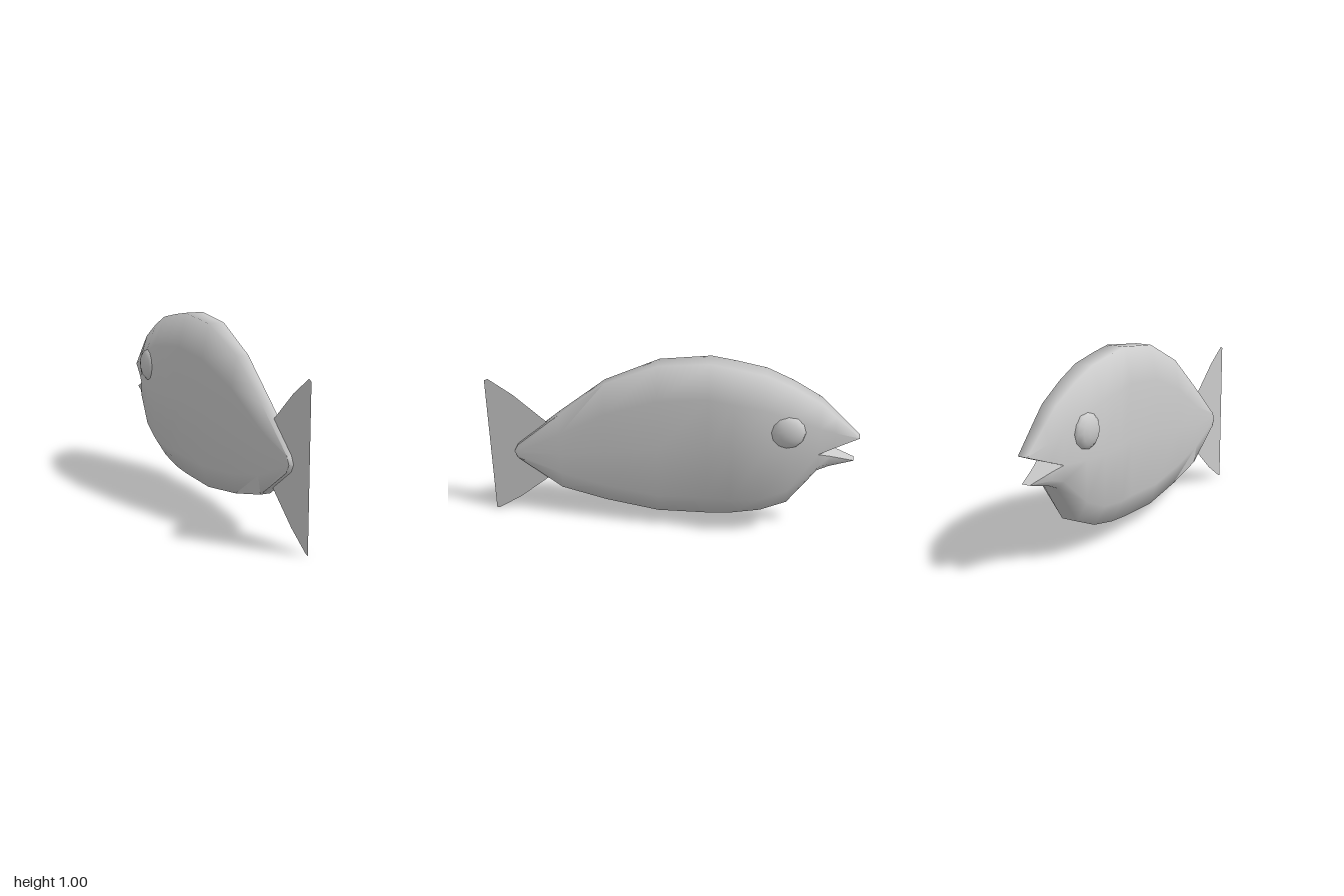
import * as THREE from 'three';
import { toCreasedNormals } from 'three/addons/utils/BufferGeometryUtils.js';

// Body stations, tail to mouth corner:
// z, five heights (belly, low shoulder, middle, high shoulder, back), rim half-width, side half-width
const STATIONS = [
  [0.86, 0.40, 0.40, 0.40, 0.40, 0.40, 0.025, 0.025],
  [0.84, 0.36, 0.38, 0.40, 0.42, 0.44, 0.025, 0.027],
  [0.60, 0.19, 0.29, 0.41, 0.53, 0.645, 0.028, 0.043],
  [0.35, 0.13, 0.24, 0.45, 0.68, 0.845, 0.033, 0.062],
  [0.06, 0.09, 0.21, 0.50, 0.79, 0.975, 0.045, 0.085],
  [-0.21, 0.10, 0.22, 0.52, 0.82, 1.005, 0.053, 0.092],
  [-0.34, 0.11, 0.23, 0.52, 0.81, 0.985, 0.053, 0.115],
  [-0.50, 0.14, 0.25, 0.52, 0.79, 0.955, 0.05, 0.118],
  [-0.64, 0.20, 0.31, 0.52, 0.74, 0.895, 0.045, 0.106],
  [-0.79, 0.41, 0.45, 0.53, 0.68, 0.81, 0.04, 0.08],
];

// Mirrors a half section of [x, y] points into a closed ring at z
function ring(z, half) {
  const right = half.map(([x, y]) => new THREE.Vector3(x, y, z));
  const left = half.map(([x, y]) => new THREE.Vector3(-x, y, z)).reverse();
  return [...right, ...left];
}

// Skins consecutive rings, skipping collapsed triangles
function skin(rings, out) {
  const tri = new THREE.Triangle();
  const add = (a, b, c) => {
    if (tri.set(a, b, c).getArea() < 1e-7) return;
    for (const p of [a, b, c]) out.push(p.x, p.y, p.z);
  };
  for (let i = 0; i < rings.length - 1; i++) {
    const r = rings[i], s = rings[i + 1], n = r.length;
    for (let j = 0; j < n; j++) {
      const k = (j + 1) % n;
      add(r[j], s[j], s[k]);
      add(r[j], s[k], r[k]);
    }
  }
}

function bodyGeometry() {
  const halves = STATIONS.map(([, a, b, c, d, e, rim, w]) =>
    [[rim, a], [w, b], [w, c], [w, d], [rim, e]]);
  const out = [];
  skin(STATIONS.map((s, i) => ring(s[0], halves[i])), out);
  const mouth = halves[halves.length - 1];
  // Upper jaw, tapering to the snout
  skin([
    ring(-0.79, mouth.slice(2)),
    ring(-0.87, [[0.056, 0.56], [0.056, 0.65], [0.035, 0.734]]),
    ring(-1.0, [[0.025, 0.61], [0.025, 0.61], [0.025, 0.61]]),
  ], out);
  // Lower jaw
  skin([
    ring(-0.79, mouth.slice(0, 3)),
    ring(-0.85, [[0.035, 0.438], [0.058, 0.468], [0.058, 0.512]]),
    ring(-0.98, [[0.022, 0.473], [0.022, 0.473], [0.022, 0.473]]),
  ], out);
  const g = new THREE.BufferGeometry();
  g.setAttribute('position', new THREE.Float32BufferAttribute(out, 3));
  return toCreasedNormals(g, 1.4);
}

export function createModel() {
  const group = new THREE.Group();
  const grey = new THREE.MeshStandardMaterial({ color: 0xcccccc });
  const add = (name, geometry, material = grey) => {
    const mesh = new THREE.Mesh(geometry, material);
    mesh.name = name;
    group.add(mesh);
    return mesh;
  };

  add('body', bodyGeometry());

  // Tail fin: a flat sheet in the middle plane, rooted inside the body
  const outline = [[1, 0], [1, 0.815], [0.98, 0.825], [0.85, 0.737], [0.67, 0.58],
    [0.5, 0.44], [0.5, 0.39], [0.67, 0.24], [0.85, 0.09], [0.98, 0.005]];
  const fin = new THREE.ShapeGeometry(
    new THREE.Shape(outline.map(([z, y]) => new THREE.Vector2(-z, y))));
  fin.rotateY(Math.PI / 2);
  add('tailFin', fin, new THREE.MeshStandardMaterial({ color: 0xcccccc, side: THREE.DoubleSide }));

  // Eyes: flattened spheres on both sides of the head
  for (const [name, side] of [['leftEye', 1], ['rightEye', -1]]) {
    const eye = new THREE.SphereGeometry(1, 12, 8);
    eye.rotateZ(Math.PI / 2);
    const mesh = add(name, eye);
    mesh.scale.set(0.052, 0.096, 0.096);
    mesh.position.set(side * 0.09, 0.663, -0.623);
  }
  return group;
}
